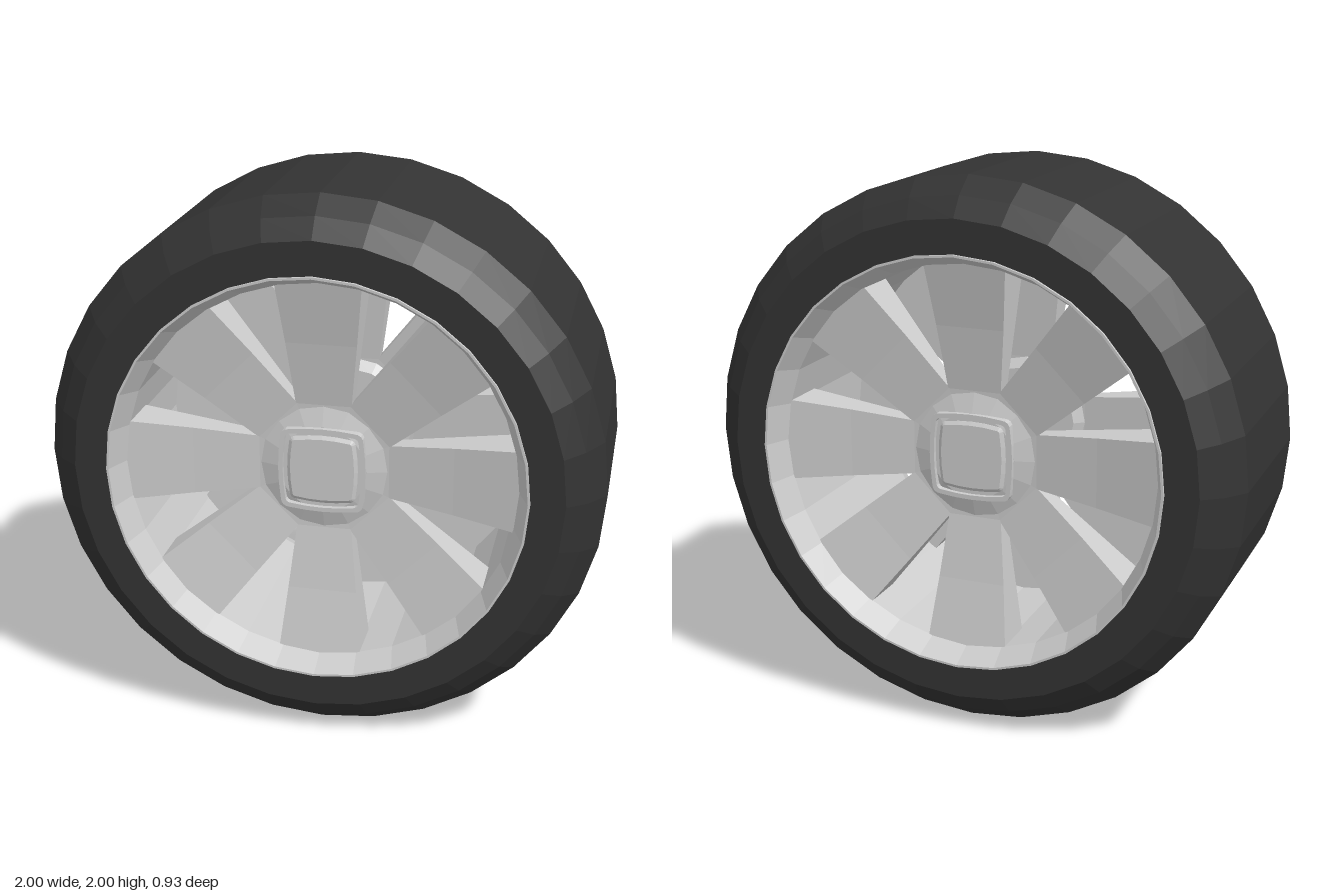
import * as THREE from 'three';

const rubber = new THREE.MeshStandardMaterial({ color: 0x333333, flatShading: true });
const metal = new THREE.MeshStandardMaterial({ color: 0xcccccc, flatShading: true });

function part(name, geometry, material) {
  const mesh = new THREE.Mesh(geometry, material);
  mesh.name = name;
  return mesh;
}

// Revolve [radius, z] points around the axle
function turned(points, sides) {
  const profile = points.map(([r, z]) => new THREE.Vector2(r, z));
  return new THREE.LatheGeometry(profile, sides).rotateX(Math.PI / 2);
}

// Square with rounded corners and slightly bulging sides
function softSquare(half, corner, bulge, Type = THREE.Shape) {
  const s = new Type();
  const c = half - corner;
  for (let i = 0; i < 4; i++) {
    const a = i * Math.PI / 2;
    const at = (x, y) => [x * Math.cos(a) - y * Math.sin(a), x * Math.sin(a) + y * Math.cos(a)];
    if (i === 0) s.moveTo(...at(half, -c));
    s.quadraticCurveTo(...at(half + bulge * 2, 0), ...at(half, c));
    s.quadraticCurveTo(...at(half, half), ...at(c, half));
  }
  return s;
}

// Spoke lofted from rectangular sections: [radius, half width, front z, back z]
function spokeGeometry() {
  const sections = [
    [0.19, 0.095, 0.285, 0.23],
    [0.235, 0.1, 0.287, 0.23],
    [0.47, 0.126, 0.325, 0.215],
    [0.705, 0.152, 0.375, 0.2],
  ];
  const positions = [];
  const index = [];
  for (const [r, w, front, back] of sections) {
    positions.push(-w, r, front, w, r, front, w, r, back, -w, r, back);
  }
  for (let s = 0; s < sections.length - 1; s++) {
    for (let k = 0; k < 4; k++) {
      const a = s * 4 + k, b = s * 4 + (k + 1) % 4;
      index.push(a, b, b + 4, a, b + 4, a + 4);
    }
  }
  const e = (sections.length - 1) * 4;
  index.push(0, 3, 2, 0, 2, 1, e, e + 1, e + 2, e, e + 2, e + 3);
  const g = new THREE.BufferGeometry();
  g.setAttribute('position', new THREE.Float32BufferAttribute(positions, 3));
  g.setIndex(index);
  g.computeVertexNormals();
  return g;
}

// One face of the wheel: hub, spokes and square cap
function wheelFace(name) {
  const face = new THREE.Group();
  face.name = name;

  face.add(part('hub', turned([[0, 0.2], [0.2, 0.2], [0.235, 0.23], [0.235, 0.285], [0.16, 0.308], [0, 0.308]], 16), metal));

  const spoke = spokeGeometry();
  for (let i = 0; i < 8; i++) {
    const mesh = part('spoke', spoke, metal);
    mesh.rotation.z = i * Math.PI / 4;
    face.add(mesh);
  }

  const frame = softSquare(0.15, 0.035, 0.008);
  frame.holes.push(softSquare(0.134, 0.025, 0.008, THREE.Path));
  const frameGeometry = new THREE.ExtrudeGeometry(frame, { depth: 0.04, bevelEnabled: false, curveSegments: 4 });
  const capFrame = part('capFrame', frameGeometry, metal);
  capFrame.position.z = 0.285;
  face.add(capFrame);

  const plateGeometry = new THREE.ExtrudeGeometry(softSquare(0.108, 0.012, 0.008), {
    depth: 0.02, bevelThickness: 0.008, bevelSize: 0.012, bevelSegments: 1, curveSegments: 4,
  });
  const capPlate = part('capPlate', plateGeometry, metal);
  capPlate.position.z = 0.292;
  face.add(capPlate);
  return face;
}

export function createModel() {
  const model = new THREE.Group();
  model.name = 'wheel';
  const wheel = new THREE.Group();
  wheel.name = 'wheelAssembly';
  wheel.position.y = 1;
  model.add(wheel);

  // Tyre with rounded shoulders
  const half = [[1, 0.325], [0.94, 0.405], [0.87, 0.457], [0.745, 0.457]];
  const back = half.map(([r, z]) => [r, -z]).reverse();
  wheel.add(part('tyre', turned([...back, ...half], 32), rubber));

  // Rim: raised lips, sloping inner faces and a straight barrel
  const lip = [[0.75, 0.45], [0.75, 0.467], [0.742, 0.467], [0.702, 0.37]];
  wheel.add(part('rim', turned([...lip, ...lip.map(([r, z]) => [r, -z]).reverse()], 32), metal));

  // Matching faces on both sides
  const front = wheelFace('frontFace');
  const rear = wheelFace('rearFace');
  rear.rotation.y = Math.PI;
  wheel.add(front, rear);
  return model;
}
